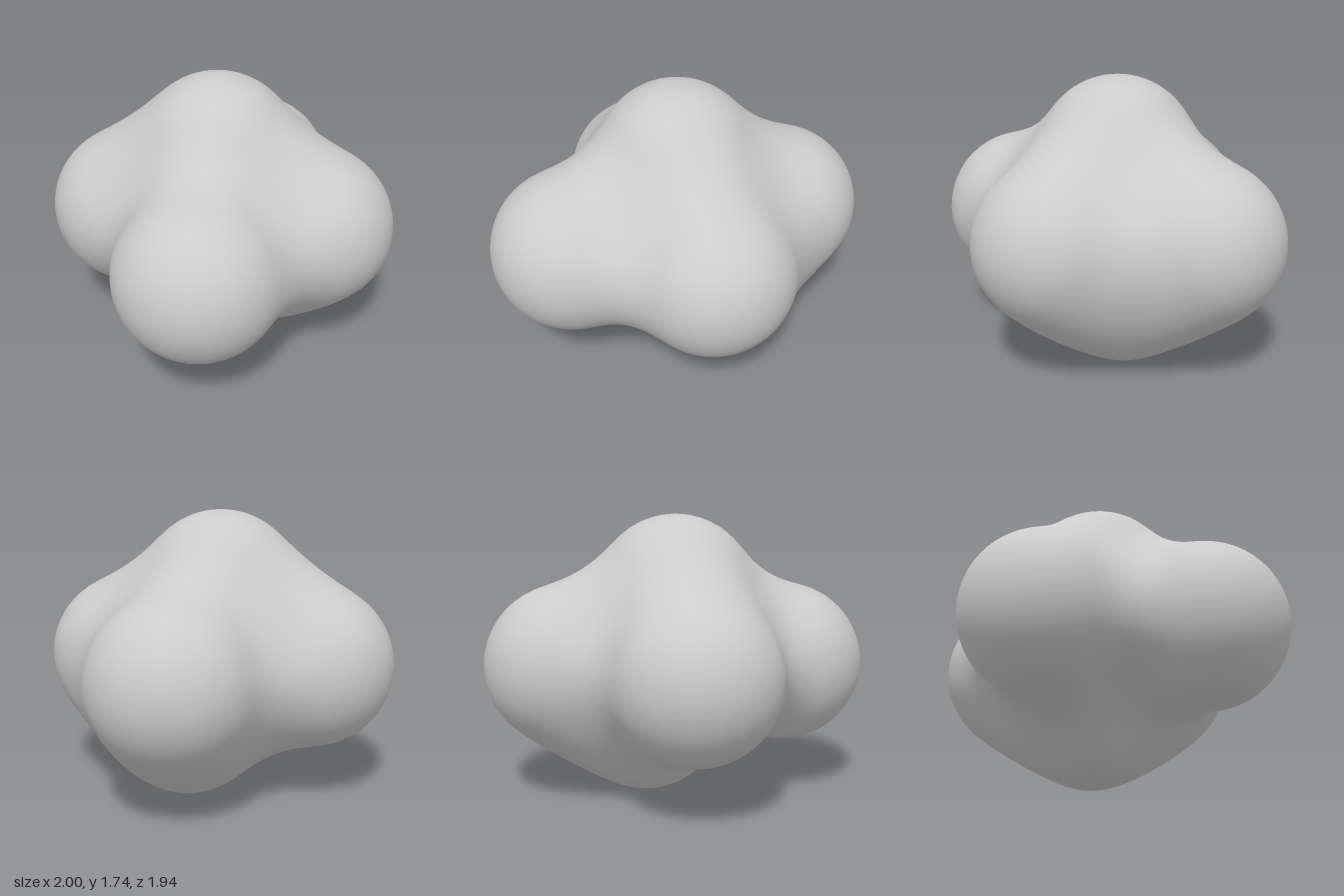
import * as THREE from 'three';
import { mergeVertices } from 'three/addons/utils/BufferGeometryUtils.js';

// Ball centres that melt together into one blob
const BALLS = [
  [-0.04, 1.24, -0.07], // top
  [0.19, 0.5, -0.07],   // bottom
  [-0.44, 0.82, -0.47], // back right
  [0.5, 0.82, -0.47],   // back left
  [-0.5, 0.81, 0.47],   // front right
  [0.37, 0.82, 0.37],   // front left
].map((c) => new THREE.Vector3(...c));
const REACH = 0.87; // a lone ball has a radius of about 0.5
const LEVEL = 0.3;
const CENTRE = new THREE.Vector3(0, 0.85, 0);

// Summed falloff of all balls; the skin lies where it equals LEVEL
function field(p) {
  let sum = 0;
  for (const c of BALLS) sum += Math.max(0, 1 - p.distanceToSquared(c) / REACH ** 2) ** 3;
  return sum;
}

// Outward normal: the falling slope of the field
function slope(p) {
  const n = new THREE.Vector3();
  for (const c of BALLS) {
    const w = Math.max(0, 1 - p.distanceToSquared(c) / REACH ** 2) ** 2;
    n.addScaledVector(p.clone().sub(c), w);
  }
  return n.normalize();
}

// Walk inward along a ray to the skin, then refine by bisection
function skinPoint(dir) {
  const at = (t) => CENTRE.clone().addScaledVector(dir, t);
  let outer = 1.6;
  while (outer > 0.1 && field(at(outer - 0.02)) < LEVEL) outer -= 0.02;
  let inner = outer - 0.02;
  for (let i = 0; i < 16; i++) {
    const mid = (inner + outer) / 2;
    if (field(at(mid)) < LEVEL) outer = mid;
    else inner = mid;
  }
  return at(inner);
}

export function createModel() {
  const group = new THREE.Group();
  group.name = 'blob';

  // Shrink-wrap a sphere onto the merged balls
  let geometry = new THREE.IcosahedronGeometry(1, 22);
  geometry.deleteAttribute('uv');
  geometry.deleteAttribute('normal');
  geometry = mergeVertices(geometry, 1e-5);
  const pos = geometry.attributes.position;
  const normals = new Float32Array(pos.count * 3);
  for (let i = 0; i < pos.count; i++) {
    const p = skinPoint(new THREE.Vector3().fromBufferAttribute(pos, i).normalize());
    pos.setXYZ(i, p.x, p.y, p.z);
    slope(p).toArray(normals, i * 3);
  }
  geometry.setAttribute('normal', new THREE.BufferAttribute(normals, 3));

  const skin = new THREE.Mesh(geometry, new THREE.MeshStandardMaterial({ color: 0xcccccc }));
  skin.name = 'mergedBalls';
  group.add(skin);
  return group;
}
